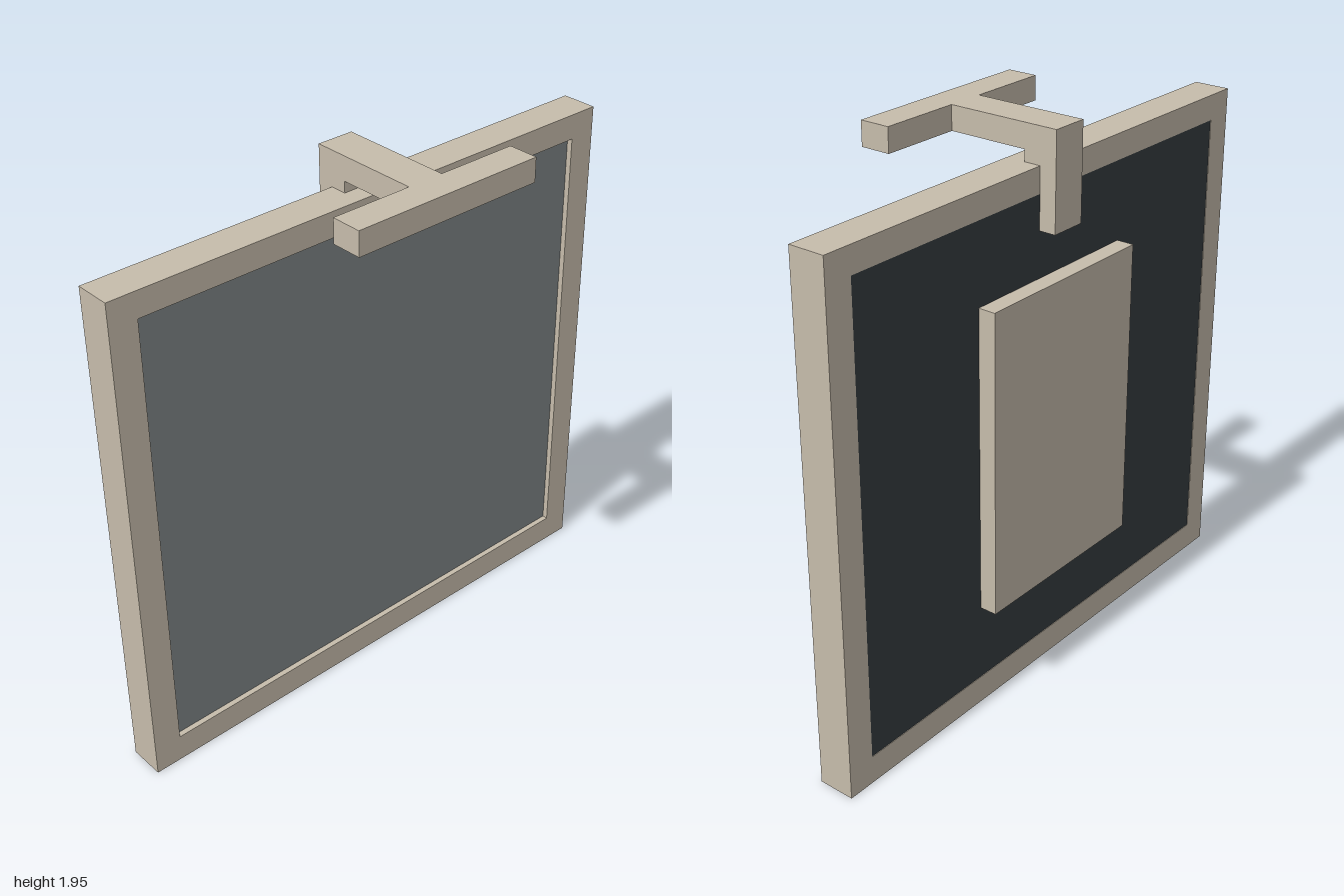
import * as THREE from 'three';

export function createModel() {
  const model = new THREE.Group();
  model.name = 'framedScreen';

  const material = (name, color) => {
    const m = new THREE.MeshStandardMaterial({ color });
    m.name = name;
    return m;
  };
  const beige = material('beige', 0xc6bcab);
  const grey = material('screenGrey', 0x7d8486);
  const dark = material('darkBacking', 0x363d41);

  const add = (name, geometry, mat) => {
    const mesh = new THREE.Mesh(geometry, mat);
    mesh.name = name;
    model.add(mesh);
    return mesh;
  };
  // box given by its limits on each axis
  const box = (name, [x0, x1], [y0, y1], [z0, z1], mat) =>
    add(name, new THREE.BoxGeometry(x1 - x0, y1 - y0, z1 - z0), mat)
      .position.set((x0 + x1) / 2, (y0 + y1) / 2, (z0 + z1) / 2);
  const outline = (pts) => pts.map(([x, y]) => new THREE.Vector2(x, y));

  // square frame with a rectangular opening
  const frameShape = new THREE.Shape(outline([[-1, 0], [1, 0], [1, 1.82], [-1, 1.82]]));
  frameShape.holes.push(new THREE.Path(outline([[-0.9, 0.1], [-0.9, 1.73], [0.9, 1.73], [0.9, 0.1]])));
  add('frame', new THREE.ExtrudeGeometry(frameShape, { depth: 0.13, bevelEnabled: false }), beige)
    .position.z = -0.2;

  // recessed screen and nearly flush dark backing
  box('screen', [-0.9, 0.9], [0.1, 1.73], [-0.14, -0.09], grey);
  box('backing', [-0.9, 0.9], [0.1, 1.73], [-0.198, -0.14], dark);

  // raised plate on the back
  box('backPlate', [-0.36, 0.36], [0.375, 1.45], [-0.26, -0.198], beige);

  // hooked arm: side profile (z, y) swept across x
  const armShape = new THREE.Shape(outline([
    [0.15, 1.86], [0.15, 1.945], [-0.26, 1.945], [-0.26, 1.61],
    [-0.2, 1.61], [-0.2, 1.82], [-0.14, 1.82], [-0.14, 1.86],
  ]));
  const arm = add('hookArm', new THREE.ExtrudeGeometry(armShape, { depth: 0.134, bevelEnabled: false }), beige);
  arm.rotation.y = -Math.PI / 2;
  arm.position.x = 0.067;

  // crossbar at the front end of the arm
  box('crossbar', [-0.36, 0.36], [1.86, 1.945], [0.15, 0.26], beige);

  return model;
}
